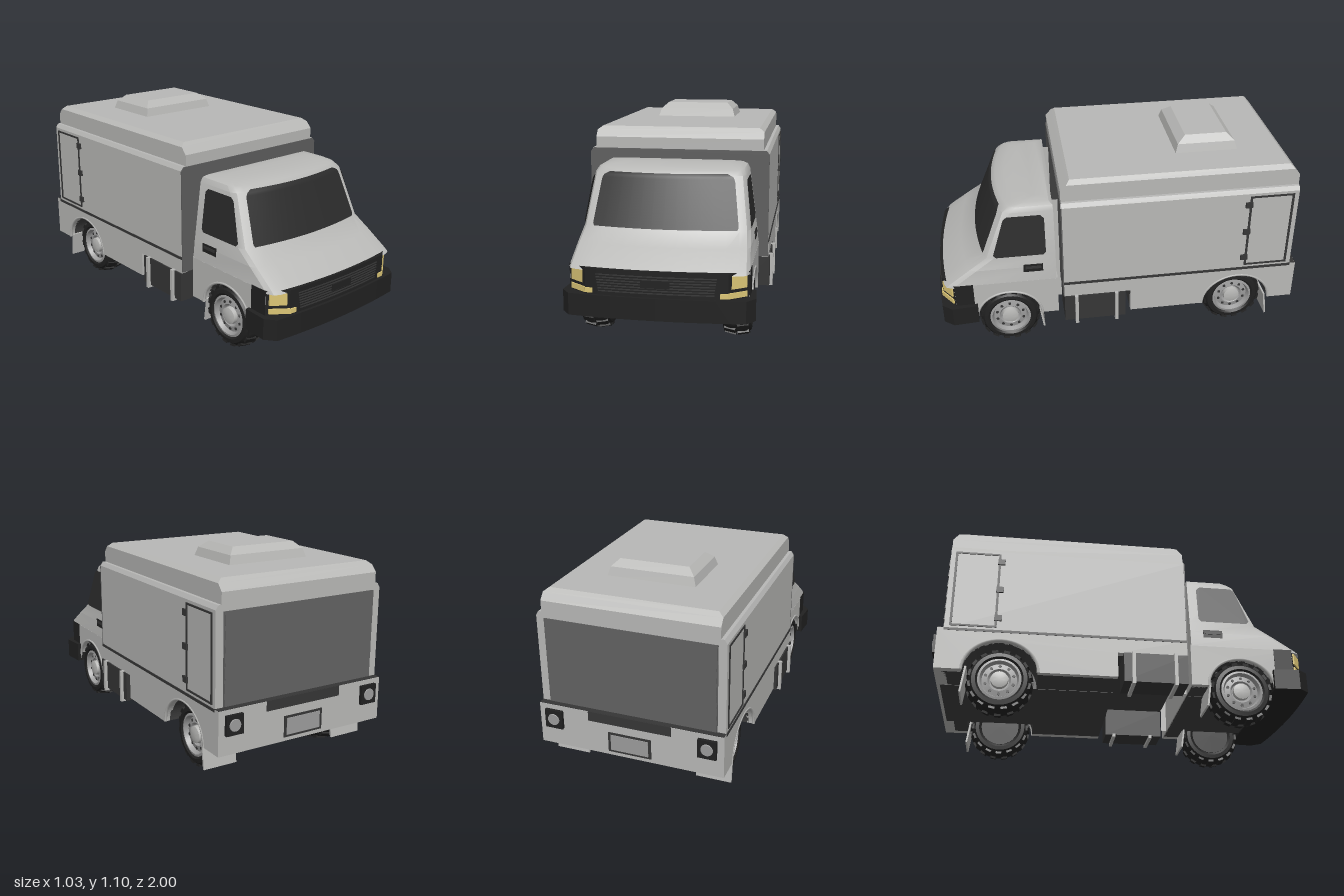
import * as THREE from 'three';
import { toCreasedNormals } from 'three/addons/utils/BufferGeometryUtils.js';

const mat = (name, color, side = THREE.FrontSide) => {
  const m = new THREE.MeshStandardMaterial({ color, side });
  m.name = name;
  return m;
};

export function createModel() {
  const truck = new THREE.Group();
  truck.name = 'boxTruck';
  const body = mat('bodyGrey', 0xb8b8b6), shutterGrey = mat('shutterGrey', 0x5e5e5e);
  const black = mat('blackPlastic', 0x212121), glass = mat('darkGlass', 0x2b2b2b, THREE.DoubleSide);
  const amber = mat('amberLamp', 0xdcc676), steel = mat('steel', 0x9c9c9c);
  const trim = mat('darkTrim', 0x363636), panel = mat('gapPanel', 0xb8b8b6, THREE.DoubleSide);
  const under = mat('underbody', 0x3e3e3e);

  const add = (name, geo, m, parent = truck) => {
    const mesh = new THREE.Mesh(geo, m);
    mesh.name = name;
    parent.add(mesh);
    return mesh;
  };
  // box given by its min and max on each axis
  const box = (name, m, x0, x1, y0, y1, z0, z1) => {
    const mesh = add(name, new THREE.BoxGeometry(Math.abs(x1 - x0), y1 - y0, z1 - z0), m);
    mesh.position.set((x0 + x1) / 2, (y0 + y1) / 2, (z0 + z1) / 2);
    return mesh;
  };
  // closed skin through rings of points, capped at both ends
  const loft = (rings, crease = 0.5) => {
    const n = rings[0].length, idx = [], last = (rings.length - 1) * n;
    for (let r = 0; r < rings.length - 1; r++) for (let i = 0; i < n; i++) {
      const a = r * n + i, b = r * n + (i + 1) % n;
      idx.push(a, b, b + n, a, b + n, a + n);
    }
    for (let i = 1; i < n - 1; i++) idx.push(last, last + i, last + i + 1, 0, i + 1, i);
    const g = new THREE.BufferGeometry();
    g.setAttribute('position', new THREE.Float32BufferAttribute(rings.flat(2), 3));
    g.setIndex(idx);
    return toCreasedNormals(g, crease);
  };
  const rectRing = ([y, w, z0, z1]) => [[w, y, z1], [w, y, z0], [-w, y, z0], [-w, y, z1]];
  // plan outline of [x, z] points raised between two heights
  const planBand = (pts, y0, y1) => {
    const s = new THREE.Shape(pts.map(([x, z]) => new THREE.Vector2(x, -z)));
    return new THREE.ExtrudeGeometry(s, { depth: y1 - y0, bevelEnabled: false })
      .rotateX(-Math.PI / 2).translate(0, y0, 0);
  };
  // side outline in (z, y) given thickness from x0 to x1
  const sideExtrude = (shape, x0, x1) =>
    new THREE.ExtrudeGeometry(shape, { depth: x1 - x0, bevelEnabled: false, curveSegments: 20 })
      .rotateY(-Math.PI / 2).translate(x1, 0, 0);
  const outline = (pts) => new THREE.Shape(pts.map(p => new THREE.Vector2(...p)));

  // cab skin: height, half width, front z, back z, bow of the front
  const table = [
    [0.405, 0.44, 0.985, 0.35, 0.03], [0.42, 0.439, 0.968, 0.35, 0.03],
    [0.5, 0.431, 0.86, 0.35, 0.035], [0.565, 0.422, 0.77, 0.35, 0.04],
    [0.82, 0.388, 0.668, 0.35, 0.04], [0.845, 0.375, 0.64, 0.352, 0.045],
    [0.858, 0.35, 0.59, 0.37, 0.045], [0.866, 0.3, 0.54, 0.4, 0.04]];
  const R = 0.05;
  const cabAt = (y) => {
    let i = 0;
    while (i < table.length - 2 && table[i + 1][0] < y) i++;
    const t = (y - table[i][0]) / (table[i + 1][0] - table[i][0]);
    return table[i].map((v, k) => v + (table[i + 1][k] - v) * t);
  };
  const cabRing = ([y, w, f, back, bow]) => {
    const e = f - bow, front = [];
    for (let i = 0; i <= 12; i++) {
      const s = i / 6 - 1;
      front.push([s * (w - R), y, f - bow * s * s]);
    }
    return [[w, y, e - R], [w, y, back], [-w, y, back], [-w, y, e - R],
      [-w + 0.3 * R, y, e - 0.3 * R], ...front, [w - 0.3 * R, y, e - 0.3 * R]];
  };
  add('cabShell', loft(table.map(cabRing), 0.6), body);

  // windscreen following the cab front, rounded at the corners
  const pos = [], idx = [], NU = 12, NV = 20;
  for (let j = 0; j <= NV; j++) {
    const y = 0.57 + 0.26 * j / NV, [, w, f, , bow] = cabAt(y);
    const d = Math.max(0, y - 0.79) / 0.04, e = Math.max(0, 0.583 - y) / 0.013;
    const hw = w - R - 0.003 - 0.03 * (1 - Math.sqrt(Math.max(0, 1 - d * d))) - 0.008 * e;
    for (let i = 0; i <= NU; i++) {
      const x = hw * (2 * i / NU - 1);
      pos.push(x, y, f - bow * (x / (w - R)) ** 2 + 0.006);
      const a = j * (NU + 1) + i;
      if (i < NU && j < NV) idx.push(a, a + 1, a + NU + 2, a, a + NU + 2, a + NU + 1);
    }
  }
  const screen = new THREE.BufferGeometry();
  screen.setAttribute('position', new THREE.Float32BufferAttribute(pos, 3));
  screen.setIndex(idx);
  screen.computeVertexNormals();
  add('windscreen', screen, glass);

  // nose with slanted corners, bumper, grille and lamps
  const bowZ = x => 0.985 - 0.14 * x * x;
  const arc = (x0, x1, off) => Array.from({ length: 13 }, (_, i) => {
    const x = x0 + (x1 - x0) * i / 12;
    return [x, bowZ(x) + off];
  });
  const curvedPlate = (name, m, x0, x1, y0, y1, off) =>
    add(name, planBand([...arc(x0, x1, off), ...arc(x0, x1, -0.01).reverse()], y0, y1), m);
  add('nose', planBand([[-0.442, 0.8], [-0.442, 0.898], ...arc(-0.345, 0.345, 0), [0.442, 0.898], [0.442, 0.8]], 0.27, 0.418), black);
  add('frontBumper', planBand([[-0.462, 0.785], [-0.472, 0.92], ...arc(-0.43, 0.43, 0.015), [0.472, 0.92], [0.462, 0.785]], 0.18, 0.29), black);
  for (let i = 0; i < 7; i++) {
    const y = 0.308 + i * 0.0135, w = 0.28 + i * 0.002;
    curvedPlate('grilleSlat', trim, -w, w, y, y + 0.005, 0.004);
  }
  curvedPlate('grilleBadgePlate', black, -0.07, 0.07, 0.338, 0.374, 0.007);
  for (const s of [-1, 1]) {
    const cornerLamp = (name, x0, x1, y0, y1) => {
      const z = x => 0.968 - 0.72 * (x - 0.345);
      add(name, planBand([[s * x0, z(x0) - 0.01], [s * x0, z(x0) + 0.008], [s * x1, z(x1) + 0.008], [s * x1, z(x1) - 0.01]], y0, y1), amber);
    };
    cornerLamp('headlight', 0.36, 0.428, 0.343, 0.404);
    cornerLamp('indicatorCorner', 0.345, 0.43, 0.298, 0.325);
    curvedPlate('indicator', amber, s > 0 ? 0.308 : -0.346, s > 0 ? 0.346 : -0.308, 0.298, 0.322, 0.006);
  }

  // lower sides with wheel arches over a dark floor
  const cabLower = outline([[0.35, 0.19], [0.437, 0.19]]);
  cabLower.absellipse(0.614, 0.19, 0.177, 0.162, Math.PI, 0, true);
  [[0.9, 0.19], [0.9, 0.415], [0.35, 0.415]].forEach(p => cabLower.lineTo(...p));
  const boxLower = outline([[-0.975, 0.19], [-0.845, 0.19]]);
  boxLower.absellipse(-0.65, 0.19, 0.192, 0.168, Math.PI, 0, true);
  [[-0.05, 0.19], [-0.05, 0.325], [0.315, 0.325], [0.315, 0.41], [-0.975, 0.41]].forEach(p => boxLower.lineTo(...p));
  add('cabFloor', sideExtrude(cabLower, -0.41, 0.41), under);
  add('boxFloor', sideExtrude(boxLower, -0.46, 0.46), under);
  box('cabFloorCore', under, -0.275, 0.275, 0.188, 0.4, 0.36, 0.9);
  box('boxFloorCore', under, -0.275, 0.275, 0.188, 0.4, -0.96, -0.05);
  for (const s of [-1, 1]) {
    const span = (a, b) => s > 0 ? [a, b] : [-b, -a];
    add('cabLowerSide', sideExtrude(cabLower, ...span(0.4, 0.44)), body);
    add('boxLowerSide', sideExtrude(boxLower, ...span(0.45, 0.49)), body);
    for (const [x, z, r] of [[0.438, 0.614, 0.179], [0.486, -0.65, 0.194]]) {
      const lip = add('archLip', new THREE.TorusGeometry(r, 0.008, 6, 24, Math.PI).rotateY(Math.PI / 2), body);
      lip.position.set(s * x, 0.19, z);
      lip.scale.y = 0.89;
    }
    // cab side window and door handle
    const win = outline([[0.4, 0.585], [0.415, 0.57], [0.665, 0.57], [0.68, 0.585], [0.615, 0.785], [0.595, 0.8], [0.42, 0.8], [0.4, 0.78]]);
    const g = new THREE.ShapeGeometry(win), p = g.attributes.position;
    for (let i = 0; i < p.count; i++) {
      const z = p.getX(i), y = p.getY(i);
      p.setXYZ(i, s * (cabAt(y)[1] + 0.004), y, z);
    }
    if (s > 0) g.setIndex(Array.from(g.index.array).reverse());
    g.computeVertexNormals();
    add('sideWindow', g, glass);
    box('handleRecess', black, s * 0.42, s * 0.434, 0.458, 0.515, 0.42, 0.525);
    box('handle', trim, s * 0.428, s * 0.437, 0.49, 0.505, 0.43, 0.515);
    // filler between cab and box
    add('gapFiller', new THREE.PlaneGeometry(0.035, 0.64).rotateY(Math.PI / 2), panel).position.set(s * 0.3, 0.51, 0.3325);
  }
  box('cabBackLower', body, -0.44, 0.44, 0.19, 0.42, 0.345, 0.352);
  box('rearLowerPanel', body, -0.49, 0.49, 0.19, 0.415, -0.978, -0.92);
  box('rearLedge', trim, -0.488, 0.488, 0.412, 0.418, -0.976, -0.94);

  // cargo box, roof cap and roof vent
  add('cargoBox', loft([[0.41, 0.487, -0.945, 0.315], [0.885, 0.487, -0.945, 0.315], [0.907, 0.473, -0.945, 0.315]].map(rectRing), 0.2), body);
  add('roofCap', loft([[0.9, 0.456, -0.946, 0.316], [0.965, 0.456, -0.946, 0.316], [1, 0.456, -0.916, 0.285], [1.02, 0.43, -0.897, 0.266]].map(rectRing), 0.2), body);
  add('roofVent', loft([[1.015, 0.235, -0.665, -0.325], [1.065, 0.22, -0.65, -0.34], [1.1, 0.183, -0.612, -0.385]].map(rectRing), 0.2), body);
  add('boxFront', new THREE.ExtrudeGeometry(outline([[-0.488, 0.33], [0.488, 0.33], [0.488, 0.885], [0.472, 0.905], [-0.472, 0.905], [-0.488, 0.885]]),
    { depth: 0.006, bevelEnabled: false }), shutterGrey).position.z = 0.314;

  // rear roller shutter
  box('shutter', shutterGrey, -0.445, 0.445, 0.42, 0.875, -0.949, -0.94);
  for (let i = 0; i < 7; i++) {
    const y = 0.422 + i * 0.0645;
    box('shutterSlat', shutterGrey, -0.44, 0.44, y, y + 0.0645, -0.953, -0.945).rotation.x = 0.1;
  }
  // rear step, plate holder and tail lamps
  box('rearStep', trim, -0.22, 0.22, 0.365, 0.417, -0.981, -0.95);
  box('plateFrame', trim, -0.115, 0.115, 0.21, 0.32, -0.981, -0.97);
  box('plate', steel, -0.1, 0.1, 0.222, 0.308, -0.984, -0.978);

  for (const s of [-1, 1]) {
    box('tailLampHousing', black, s * 0.36, s * 0.455, 0.29, 0.39, -0.995, -0.97);
    add('tailLampLens', new THREE.CylinderGeometry(0.03, 0.034, 0.012, 20).rotateX(-Math.PI / 2), steel).position.set(s * 0.408, 0.34, -0.994);
    box('sideTrim', trim, s * 0.48, s * 0.4915, 0.402, 0.416, -0.945, 0.315);
    // side door with frame and hinges
    const X = [s * 0.48, s * 0.491];
    box('doorFrameTop', trim, ...X, 0.86, 0.87, -0.92, -0.68);
    box('doorFrameBottom', trim, ...X, 0.43, 0.44, -0.92, -0.68);
    box('doorFrameFront', trim, ...X, 0.43, 0.87, -0.692, -0.68);
    box('doorFrameBack', trim, ...X, 0.43, 0.87, -0.92, -0.908);
    for (const y of [0.485, 0.652, 0.82]) box('doorHinge', trim, s * 0.48, s * 0.497, y - 0.016, y + 0.016, -0.695, -0.656);

    // side tank with straps
    box('sideTank', trim, s * 0.33, s * 0.498, 0.165, 0.325, -0.02, 0.315);
    for (const z of [0.25, 0.03]) {
      box('tankStrapOuter', body, s * 0.49, s * 0.514, 0.15, 0.33, z - 0.009, z + 0.009);
      box('tankStrapUnder', body, s * 0.32, s * 0.51, 0.15, 0.168, z - 0.009, z + 0.009);
    }
    // mud flaps
    const flap = (x0, x1, y0, z) => { box('mudFlap', body, s * x0, s * x1, y0, 0.21, z - 0.005, z + 0.005).rotation.x = 0.14; };
    flap(0.25, 0.43, 0.08, 0.438);
    flap(0.3, 0.486, 0.07, -0.83);
  }

  // wheels
  const v = pts => pts.map(p => new THREE.Vector2(...p));
  const tyreGeo = toCreasedNormals(new THREE.LatheGeometry(v([[0.105, -0.06], [0.122, -0.073], [0.142, -0.07], [0.158, -0.05],
    [0.163, -0.03], [0.163, 0.03], [0.158, 0.05], [0.142, 0.07], [0.122, 0.073], [0.105, 0.06]]), 40), 0.5);
  const rimGeo = toCreasedNormals(new THREE.LatheGeometry(v([[0.108, -0.06], [0.112, 0.066], [0.1, 0.069], [0.09, 0.045], [0.06, 0.052],
    [0.05, 0.04], [0.0001, 0.04]]), 32), 0.5);
  const hubGeo = toCreasedNormals(new THREE.LatheGeometry(v([[0.046, 0.035], [0.044, 0.062], [0.024, 0.068], [0.0001, 0.068]]), 24), 0.5);
  const lugGeo = new THREE.BoxGeometry(0.016, 0.058, 0.032);
  const holeGeo = new THREE.CylinderGeometry(0.008, 0.008, 0.004, 10);
  const backGeo = new THREE.CylinderGeometry(0.108, 0.108, 0.02, 24);
  for (const s of [-1, 1]) for (const z of [0.614, -0.65]) {
    const wheel = new THREE.Group();
    wheel.name = z > 0 ? 'frontWheel' : 'rearWheel';
    wheel.position.set(s * 0.362, 0.172, z);
    wheel.rotation.z = -s * Math.PI / 2;
    add('tyre', tyreGeo, black, wheel);
    add('rim', rimGeo, steel, wheel);
    add('hub', hubGeo, body, wheel);
    add('wheelBack', backGeo, black, wheel).position.y = -0.056;
    for (let i = 0; i < 32; i++) {
      const a = i * Math.PI / 16, side = i % 2 ? 1 : -1;
      const lug = add('treadLug', lugGeo, black, wheel);
      lug.position.set(0.16 * Math.cos(a), side * 0.033, 0.16 * Math.sin(a));
      lug.rotation.set(0, -a, side * 0.2);
    }
    for (let i = 0; i < 10; i++) {
      const a = i * Math.PI / 5;
      add('rimHole', holeGeo, trim, wheel).position.set(0.075 * Math.cos(a), 0.05, 0.075 * Math.sin(a));
    }
    truck.add(wheel);
  }
  return truck;
}
